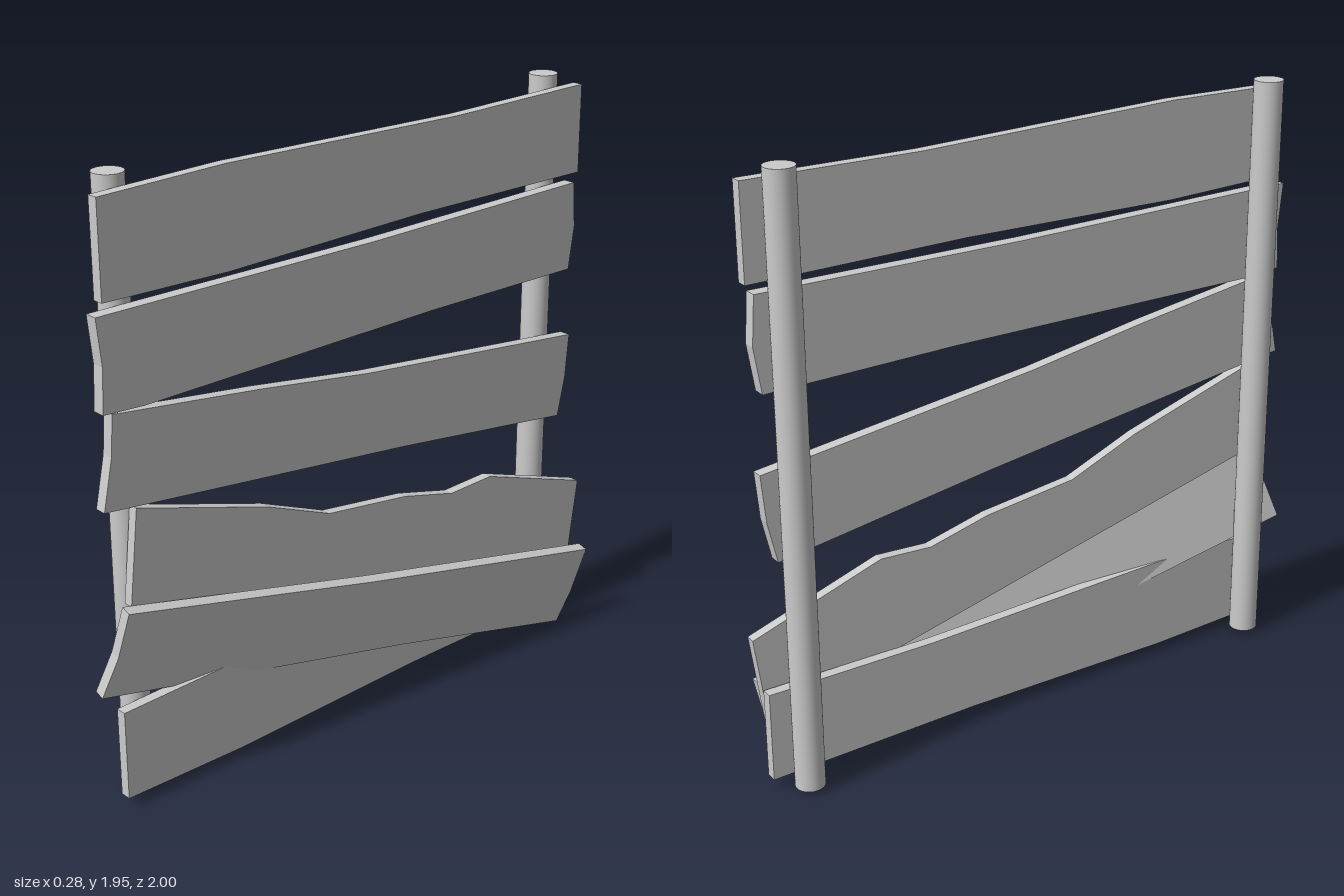
import * as THREE from 'three';

const material = new THREE.MeshStandardMaterial({ color: 0xcccccc });

// Board cut from a [z, y] outline; its back face lies at x = back + leanZ * z + leanY * y
function plank(name, outline, { back = -0.047, thick = 0.036, leanZ = 0, leanY = 0 } = {}) {
  const shape = new THREE.Shape(outline.map(([z, y]) => new THREE.Vector2(-z, y)));
  const geo = new THREE.ExtrudeGeometry(shape, { depth: thick, bevelEnabled: false });
  geo.rotateY(Math.PI / 2);
  const p = geo.attributes.position;
  for (let i = 0; i < p.count; i++) {
    const d = p.getX(i), y = p.getY(i), z = p.getZ(i);
    p.setXYZ(i, back + d + leanZ * z + leanY * y, y - leanY * d, z - leanZ * d);
  }
  geo.computeVertexNormals();
  const mesh = new THREE.Mesh(geo, material);
  mesh.name = name;
  return mesh;
}

export function createModel() {
  const group = new THREE.Group();
  group.name = 'brokenFence';

  // Round posts behind the boards
  for (const [name, z] of [['frontPost', 0.853], ['backPost', -0.877]]) {
    const post = new THREE.Mesh(new THREE.CylinderGeometry(0.047, 0.047, 1.935, 32), material);
    post.name = name;
    post.position.set(-0.093, 0.9875, z);
    group.add(post);
  }

  // Level boards: the top and bottom ones share a shape
  const level = [[0.952, 1.917], [0.51, 1.927], [-0.4, 1.908], [-0.975, 1.916],
    [-0.975, 1.622], [-0.25, 1.627], [0.51, 1.611], [0.952, 1.62]];
  group.add(plank('topPlank', level));
  group.add(plank('bottomPlank', level.map(([z, y]) => [z, y - 1.577])));

  group.add(plank('secondPlank', [[0.98, 1.588], [-0.05, 1.582], [-0.95, 1.592], [-0.962, 1.44],
    [-0.94, 1.294], [-0.3, 1.301], [0.83, 1.291], [0.972, 1.3], [0.965, 1.44]], { thick: 0.042 }));

  // Slipped board
  group.add(plank('slippedPlank', [[0.94, 1.294], [0.41, 1.225], [-0.02, 1.16], [-0.963, 1.053],
    [-0.95, 0.9], [-0.92, 0.765], [-0.18, 0.866], [0.984, 1.005], [0.95, 1.166]], { thick: 0.039 }));

  // Splintered board with a ragged top edge
  group.add(plank('splinteredPlank', [[0.87, 0.984], [0.396, 0.84], [0.15, 0.74], [-0.17, 0.7],
    [-0.38, 0.647], [-0.556, 0.655], [-0.995, 0.508], [-0.957, 0.22], [0.904, 0.676]],
  { back: -0.025, thick: 0.034, leanZ: -0.025 }));

  // Loose board leaning outwards
  group.add(plank('loosePlank', [[0.936, 0.688], [0.03, 0.493], [-0.94, 0.303], [-0.915, 0.13],
    [-0.88, 0.012], [-0.155, 0.175], [0.998, 0.402], [0.957, 0.535]],
  { back: -0.066, thick: 0.037, leanZ: -0.107, leanY: 0.22 }));

  return group;
}
